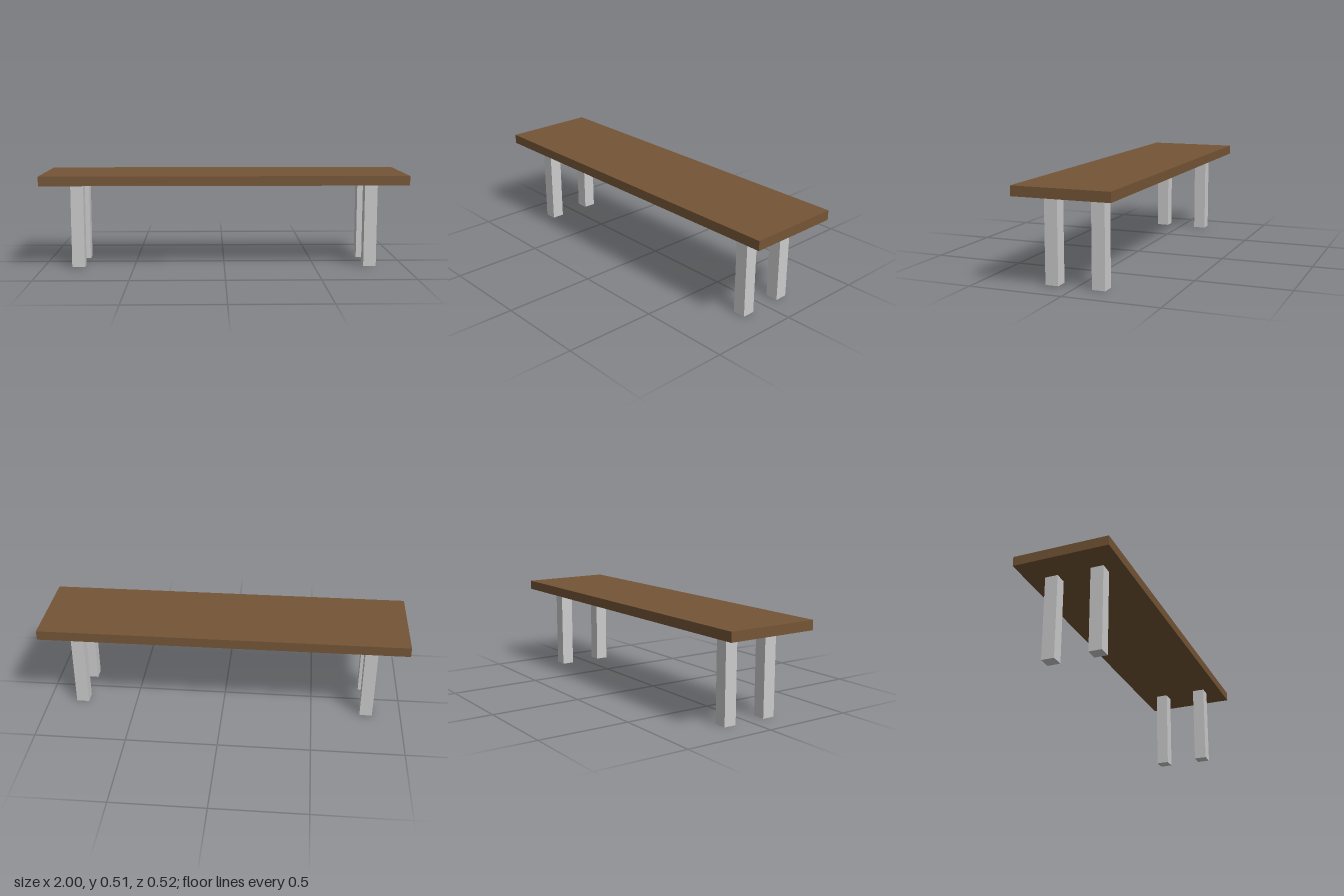
import * as THREE from 'three';

export function createModel() {
  const model = new THREE.Group();
  model.name = 'bench';

  const wood = new THREE.MeshStandardMaterial({ color: 0x755536 });
  const grey = new THREE.MeshStandardMaterial({ color: 0xcccccc });

  const height = 0.515, topThickness = 0.052, legWidth = 0.07;
  const legHeight = height - topThickness;

  // Plank seat
  const seat = new THREE.Mesh(new THREE.BoxGeometry(2, topThickness, 0.516), wood);
  seat.name = 'seat';
  seat.position.y = height - topThickness / 2;
  model.add(seat);

  // Four square legs, set in from the edges
  const legGeometry = new THREE.BoxGeometry(legWidth, legHeight, legWidth);
  for (const [side, x] of [['Left', 0.809], ['Right', -0.808]]) {
    for (const [end, z] of [['front', 0.127], ['back', -0.124]]) {
      const leg = new THREE.Mesh(legGeometry, grey);
      leg.name = `${end}${side}Leg`;
      leg.position.set(x, legHeight / 2, z);
      model.add(leg);
    }
  }

  return model;
}
